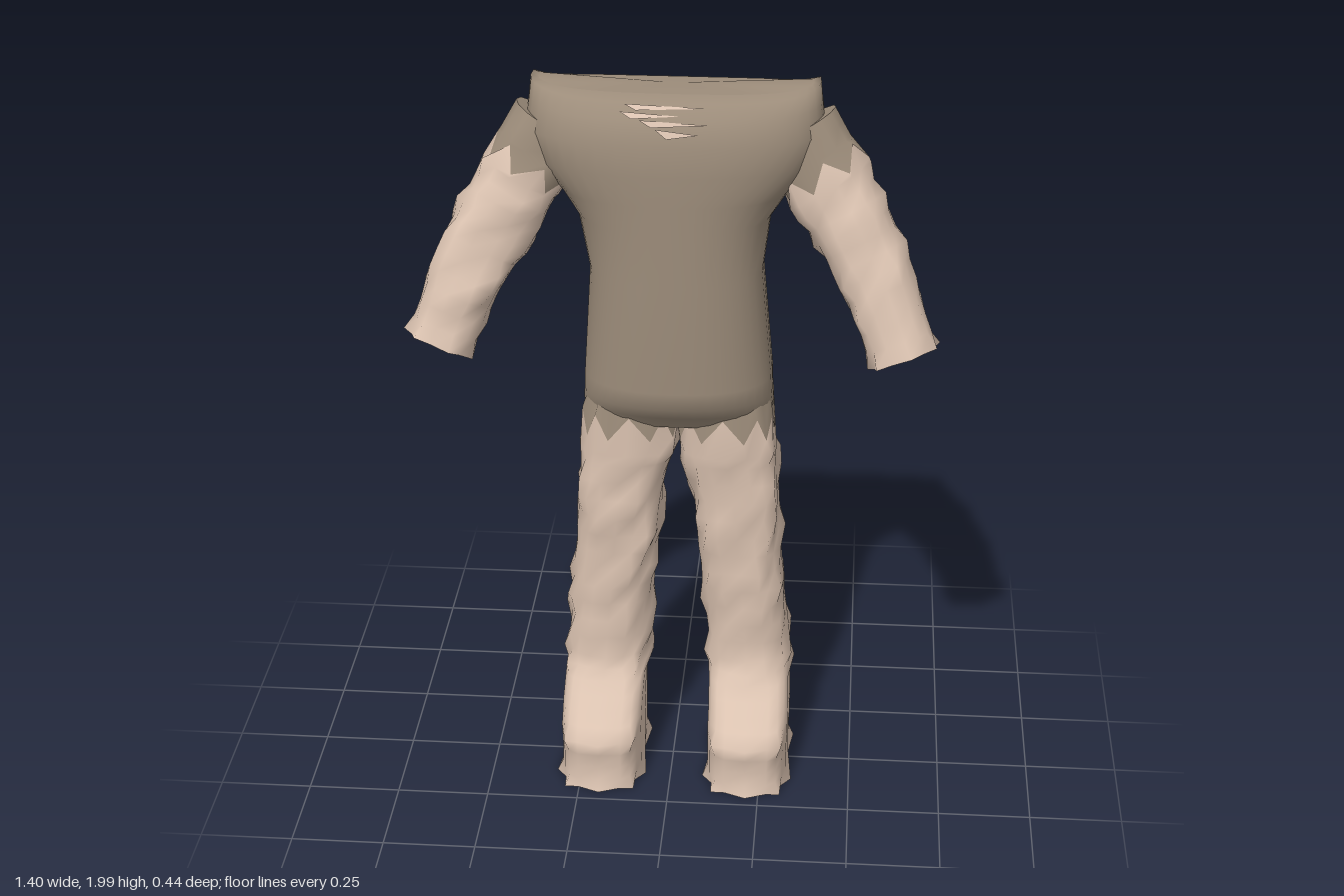
import * as THREE from 'three';

function seeded(seed) {
  let s = seed;
  return () => ((s = (s * 16807) % 2147483647) / 2147483647);
}

const signedPow = (v, p) => Math.sign(v) * Math.pow(Math.abs(v), p);

// Piecewise-linear lookup in rows whose first entry is y (rows descend in y)
function sample(rows, y) {
  let i = 0;
  while (i < rows.length - 2 && y < rows[i + 1][0]) i++;
  const a = rows[i], b = rows[i + 1];
  const t = THREE.MathUtils.clamp((y - a[0]) / (b[0] - a[0]), 0, 1);
  return a.map((v, k) => v + (b[k] - v) * t);
}

// Skin a stack of rings (bottom to top), with optional flat caps
function loft(rings, capBottom, capTop) {
  const n = rings[0].length, pos = [], idx = [];
  rings.forEach(r => r.forEach(p => pos.push(p.x, p.y, p.z)));
  for (let j = 0; j < rings.length - 1; j++) {
    for (let i = 0; i < n; i++) {
      const a = j * n + i, b = j * n + (i + 1) % n;
      idx.push(a, a + n, b, b, a + n, b + n);
    }
  }
  const cap = (ring, up) => {
    const c = ring.reduce((s, p) => s.add(p), new THREE.Vector3()).divideScalar(n);
    const base = pos.length / 3;
    [c, ...ring].forEach(p => pos.push(p.x, p.y, p.z));
    for (let i = 0; i < n; i++) {
      const a = base + 1 + i, b = base + 1 + (i + 1) % n;
      if (up) idx.push(base, b, a); else idx.push(base, a, b);
    }
  };
  if (capBottom) cap(rings[0], false);
  if (capTop) cap(rings[rings.length - 1], true);
  const g = new THREE.BufferGeometry();
  g.setAttribute('position', new THREE.Float32BufferAttribute(pos, 3));
  g.setIndex(idx);
  g.computeVertexNormals();
  return g;
}

// Torso profile: y, centre x, half width, front z, back z, upward pull at the sides
const TORSO = [
  [1.985, 0, 0.35, 0.01, -0.13, 0.012], [1.975, 0, 0.37, 0.055, -0.16, 0.025],
  [1.94, 0, 0.375, 0.092, -0.174, 0.01], [1.88, 0, 0.385, 0.118, -0.175, 0],
  [1.8, 0, 0.36, 0.122, -0.175, 0], [1.72, 0, 0.295, 0.122, -0.175, 0],
  [1.65, 0, 0.25, 0.122, -0.175, 0], [1.5, 0.005, 0.227, 0.122, -0.175, 0],
  [1.2, 0.01, 0.25, 0.122, -0.172, 0], [1.15, 0.01, 0.252, 0.115, -0.17, 0],
  [1.11, 0.01, 0.255, 0.08, -0.168, 0], [1.07, 0.01, 0.252, 0.05, -0.16, 0]
];

// Leg profile: y, inner x, outer x, front z, back z
const LEG = [
  [1.14, -0.01, 0.245, 0.05, -0.15], [1.06, -0.01, 0.26, 0.058, -0.167],
  [0.98, 0.002, 0.265, 0.055, -0.165], [0.92, 0.03, 0.268, 0.052, -0.165],
  [0.8, 0.045, 0.275, 0.05, -0.17], [0.5, 0.073, 0.297, 0.038, -0.185],
  [0.34, 0.083, 0.31, 0.035, -0.19], [0.28, 0.087, 0.315, 0.07, -0.195],
  [0.22, 0.09, 0.318, 0.14, -0.198], [0.16, 0.09, 0.318, 0.205, -0.2],
  [0.06, 0.09, 0.315, 0.198, -0.203], [0.01, 0.09, 0.318, 0.205, -0.21]
];

export function createModel() {
  const model = new THREE.Group();
  model.name = 'figure';
  const skin = new THREE.MeshStandardMaterial({ color: 0xdac2b0 });
  skin.name = 'skin';
  const cloth = new THREE.MeshStandardMaterial({ color: 0x9c8c7a });
  cloth.name = 'cloth';
  const sliver = new THREE.MeshStandardMaterial({ color: 0xdac2b0, side: THREE.DoubleSide });
  sliver.name = 'skinSliver';
  const add = (name, geo, mat) => {
    const m = new THREE.Mesh(geo, mat);
    m.name = name;
    model.add(m);
  };

  // Torso: flat back, rounded front
  const torsoRings = [...TORSO].reverse().map(([y, cx, w, zf, zb, pull]) => {
    const N = 40, zc = zb + (zf - zb) * 0.4;
    return Array.from({ length: N }, (_, i) => {
      const a = (i / N) * Math.PI * 2, c = Math.cos(a), s = Math.sin(a);
      const p = s > 0 ? 2 / 2.3 : 2 / 5;
      const x = cx + w * signedPow(c, p);
      const z = zc + (s > 0 ? zf - zc : zc - zb) * signedPow(s, p);
      return new THREE.Vector3(x, y + pull * Math.pow(Math.abs(c), 6), z);
    });
  });
  add('torso', loft(torsoRings, true, true), cloth);

  // Thin slivers near the neckline
  const slivers = [[-0.12, 0.09, 1.968, 0.006], [-0.13, 0.02, 1.952, 0.007],
    [-0.08, 0.1, 1.935, 0.008], [-0.04, 0.07, 1.912, 0.011]];
  const sp = [];
  const front = (x, y) => sp.push(x, y, sample(TORSO, y)[3] + 0.004);
  slivers.forEach(([x0, x1, y, h]) => {
    front(x0, y + h); front(x0 + 0.03, y - h); front(x1, y);
  });
  const sg = new THREE.BufferGeometry();
  sg.setAttribute('position', new THREE.Float32BufferAttribute(sp, 3));
  sg.computeVertexNormals();
  add('necklineSlivers', sg, sliver);

  for (const side of [1, -1]) {
    const label = side > 0 ? 'left' : 'right';
    const rand = seeded(side > 0 ? 4711 : 9203);
    const bump = () => (rand() < 0.2 ? 0.014 : (rand() - 0.5) * 0.008);

    // Leg and foot, with a jagged trouser hem at the hip
    const ys = [0.01, 0.04, 0.08, 0.12, 0.16, 0.19, 0.22, 0.25, 0.28, 0.31, 0.34];
    for (let y = 0.4; y < 0.97; y += 0.055) ys.push(y);
    ys.push(0.98, 1.06, 1.14);
    const N = 20;
    const legRings = ys.map((y, j) => {
      const [, xi, xo, zf, zb] = sample(LEG, y);
      const p = 2 / (y < 0.3 ? 3.6 : 2.7);
      return Array.from({ length: N }, (_, i) => {
        const a = (i / N) * Math.PI * 2;
        let b = y > 0.3 && y < 1.03 ? bump() : 0;
        if (j === 0) b = i % 2 ? 0.014 : -0.004;
        if (j === 4) b = i % 2 && Math.sin(a) > 0.5 ? 0.014 : 0;
        const jag = j === ys.length - 2 ? (i % 2 ? 0.035 : -0.035) : 0;
        const x = (xi + xo) / 2 + ((xo - xi) / 2 + b) * signedPow(Math.cos(a), p);
        const z = (zf + zb) / 2 + ((zf - zb) / 2 + b) * signedPow(Math.sin(a), p);
        // keep ring direction identical on both sides by mirroring the offset only
        const mid = (xi + xo) / 2;
        return new THREE.Vector3(0.01 + side * mid + (x - mid), y + jag, z);
      });
    });
    add(label + 'Leg', loft(legRings.slice(0, -1), true, false), skin);
    add(label + 'Hip', loft(legRings.slice(-2), false, true), cloth);

    // Arm, from hand up to shoulder, with a jagged sleeve edge
    const curve = new THREE.CatmullRomCurve3([
      [0.605, 1.315, 0.088], [0.52, 1.52, 0.025], [0.42, 1.7, -0.035], [0.31, 1.875, -0.065]
    ].map(([x, y, z]) => new THREE.Vector3(side * x, y, z)));
    const M = 15, K = 14;
    const armRings = Array.from({ length: M + 1 }, (_, j) => {
      const t = j / M, c = curve.getPoint(t), d = curve.getTangent(t);
      const e1 = d.clone().cross(new THREE.Vector3(0, 0, 1)).normalize();
      const e2 = e1.clone().cross(d);
      return Array.from({ length: K }, (_, i) => {
        const a = (i / K) * Math.PI * 2;
        const b = j === 0 ? (i % 2 ? 0.014 : -0.004) : j < M - 2 ? bump() : 0;
        const r1 = 0.088 + 0.027 * t + b, r2 = 0.09 + 0.005 * t + b;
        const jag = j === M - 3 ? (i % 2 ? 0.03 : -0.03) : 0;
        return c.clone()
          .addScaledVector(e1, r1 * signedPow(Math.cos(a), 0.85))
          .addScaledVector(e2, r2 * signedPow(Math.sin(a), 0.85))
          .addScaledVector(d, jag);
      });
    });
    add(label + 'Arm', loft(armRings.slice(0, M - 2), true, false), skin);
    add(label + 'Sleeve', loft(armRings.slice(M - 3), false, true), cloth);
  }
  return model;
}
